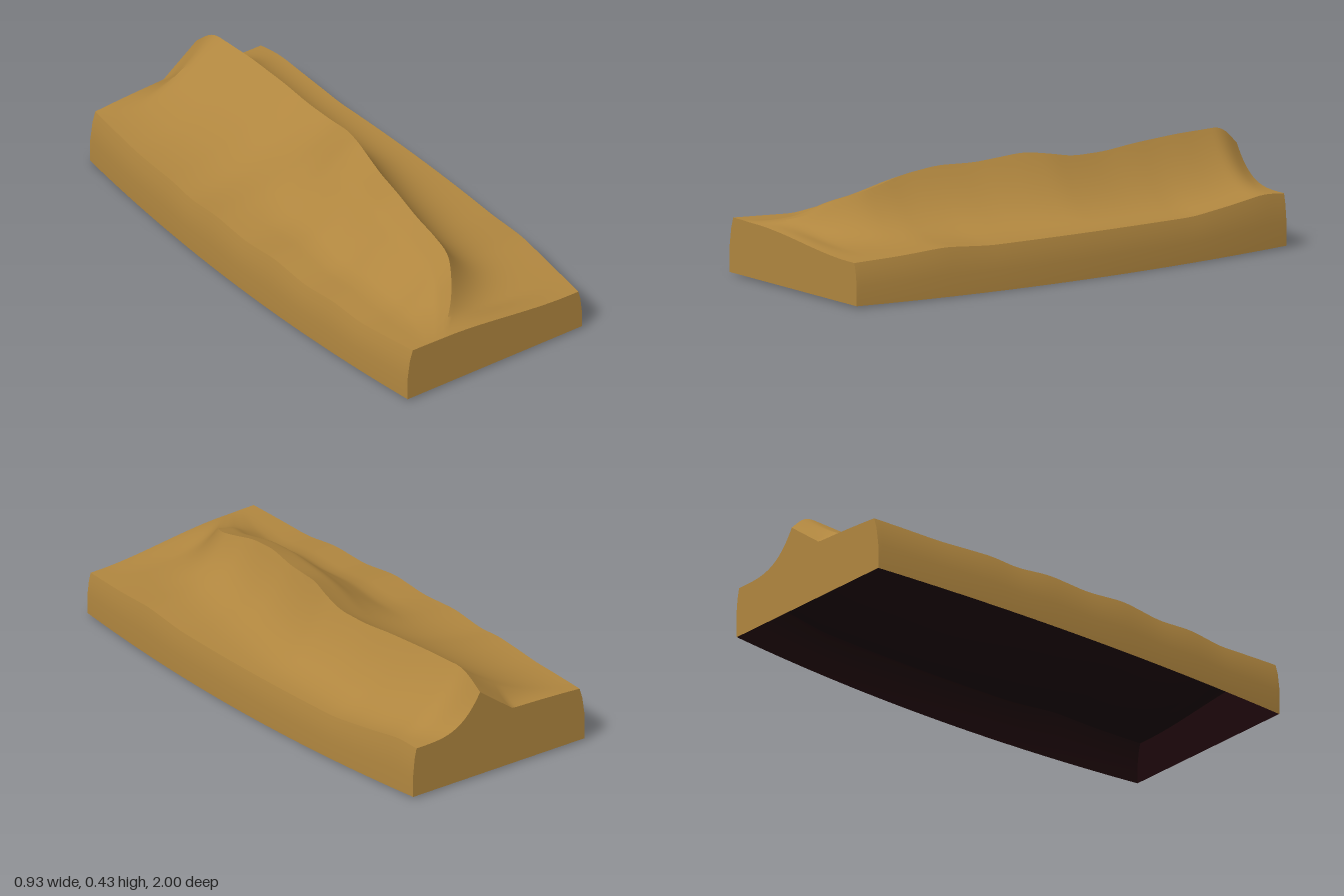
import * as THREE from 'three';
import { toCreasedNormals } from 'three/addons/utils/BufferGeometryUtils.js';

const sand = new THREE.MeshStandardMaterial({ name: 'sand', color: 0xb0863f });
const underside = new THREE.MeshStandardMaterial({ name: 'dark underside', color: 0x1b070a });

// [z, x, y] points along the ridge, from front to back
const RIDGE = [
  [1, -0.25, 0.222], [0.93, -0.17, 0.238], [0.85, -0.09, 0.265], [0.78, -0.04, 0.32], [0.7, 0.005, 0.345],
  [0.6, 0.012, 0.37], [0.5, 0.01, 0.395], [0.35, 0.03, 0.417], [0.2, 0.06, 0.415], [0, 0.1, 0.438],
  [-0.1, 0.125, 0.425], [-0.2, 0.135, 0.405], [-0.35, 0.132, 0.405], [-0.5, 0.128, 0.42],
  [-0.7, 0.12, 0.43], [-0.92, 0.105, 0.43], [-1, 0.09, 0.355],
];
// [z, y] along the top of the +x side and the wavy -x side
const LEFT_EDGE = [[1, 0.175], [0.8, 0.182], [0.6, 0.195], [0.4, 0.18], [-0.55, 0.178], [-0.75, 0.2], [-0.9, 0.22], [-1, 0.21]];
const RIGHT_EDGE = [
  [1, 0.224], [0.7, 0.202], [0.55, 0.217], [0.38, 0.205], [0.2, 0.226], [0.02, 0.21],
  [-0.17, 0.223], [-0.33, 0.208], [-0.45, 0.22], [-0.7, 0.213], [-1, 0.226],
];
// [z, exponent] steepness of the slip face
const STEEPNESS = [[1, 4], [0.8, 4.2], [0.6, 4], [0.3, 3.3], [-0.1, 2.7], [-0.6, 2.3], [-0.9, 2.2], [-1, 3.6]];
// [v, height share] across the shoulder beside the ridge
const SHOULDER = [[0, 1], [0.08, 0.93], [0.22, 0.8], [0.35, 0.53], [0.5, 0.26], [0.6, 0.1], [0.72, 0.03], [1, 0]];

// Piecewise linear lookup, softened by averaging neighbours
function linear(table, t, k) {
  const up = table[0][0] < table[table.length - 1][0];
  const pts = up ? table : [...table].reverse();
  if (t <= pts[0][0]) return pts[0][k];
  for (let i = 1; i < pts.length; i++) {
    const a = pts[i - 1], b = pts[i];
    if (t <= b[0]) return a[k] + (b[k] - a[k]) * (t - a[0]) / (b[0] - a[0]);
  }
  return pts[pts.length - 1][k];
}
function soft(table, t, k) {
  const first = table[0][0], last = table[table.length - 1][0];
  const r = Math.min(0.035, Math.abs(t - first), Math.abs(last - t));
  let sum = 0;
  for (let i = -2; i <= 2; i++) sum += linear(table, t + i * r / 2, k);
  return sum / 5;
}

const { lerp, clamp, smoothstep } = THREE.MathUtils;

// One cross-section, running from the -x foot over the ridge to the +x foot
function section(z) {
  const foot = 0.003 + 0.008 * z * z;
  const half = 0.41 + 0.053 * (1 - z * z);
  const rx = soft(RIDGE, z, 1), ry = soft(RIDGE, z, 2);
  const rightX = -half + 0.024, rightY = soft(RIGHT_EDGE, z, 1);
  const leftX = half - 0.016, leftY = soft(LEFT_EDGE, z, 1);
  const wall = (side, x, y) => [
    [side * half, foot], [side * half, lerp(foot, y, 0.45)], [lerp(side * half, x, 0.45), lerp(foot, y, 0.8)],
  ];
  const pts = wall(-1, rightX, rightY);

  // Windward slope: hollow at the back, full shoulder towards the front, notched at the back end
  const bulge = smoothstep(z, -0.3, 0.2);
  const whole = clamp((z + 1) / 0.08, 0, 1);
  for (let i = 28; i >= 0; i--) {
    const v = i / 28;
    const notch = Math.max(0.13 * (1 - v * v), 1 - 2.7 * v);
    const slope = lerp(Math.pow(1 - v, 2.1), soft(SHOULDER, v, 1), bulge);
    pts.push([lerp(rx, rightX, v), lerp(rightY, ry, lerp(notch, slope, whole))]);
  }
  // Slip face and valley floor, easing to a gentle ramp at the front
  const steepness = soft(STEEPNESS, z, 1);
  const ramp = smoothstep(z, 0.88, 1);
  for (let i = 1; i <= 28; i++) {
    const u = i / 28;
    const share = lerp(Math.pow(1 - u, steepness), 1 - smoothstep(u, 0, 0.95), ramp);
    pts.push([lerp(rx, leftX, u), lerp(leftY, ry, share)]);
  }
  pts.push(...wall(1, leftX, leftY).reverse());
  return pts.map(([x, y]) => [x, y, z]);
}

// Skin the sections; the end rows drop to the foot to close both ends
function shell(inside) {
  const n = 100;
  const rows = [];
  for (let i = 0; i <= n; i++) rows.push(section(1 - 2 * i / n));
  const drop = row => row.map(([x, , z]) => [x, row[0][1], z]);
  rows.unshift(drop(rows[0]));
  rows.push(drop(rows[rows.length - 1]));

  const cols = rows[0].length;
  const index = [];
  for (let i = 0; i < rows.length - 1; i++) {
    for (let j = 0; j < cols - 1; j++) {
      const a = i * cols + j, b = a + 1, c = a + cols, d = c + 1;
      if (inside) index.push(a, c, b, b, c, d);
      else index.push(a, b, c, b, d, c);
    }
  }
  const points = rows.flat().map(([x, y, z]) =>
    inside ? [x * 0.994, y > 0.02 ? y - 0.003 : y, z * 0.997] : [x, y, z]);
  const geometry = new THREE.BufferGeometry();
  geometry.setAttribute('position', new THREE.Float32BufferAttribute(points.flat(), 3));
  geometry.setIndex(index);
  return toCreasedNormals(geometry, 0.5);
}

export function createModel() {
  const group = new THREE.Group();
  group.name = 'sandDune';
  const dune = new THREE.Mesh(shell(false), sand);
  dune.name = 'duneSurface';
  const hollow = new THREE.Mesh(shell(true), underside);
  hollow.name = 'hollowUnderside';
  group.add(dune, hollow);
  return group;
}
